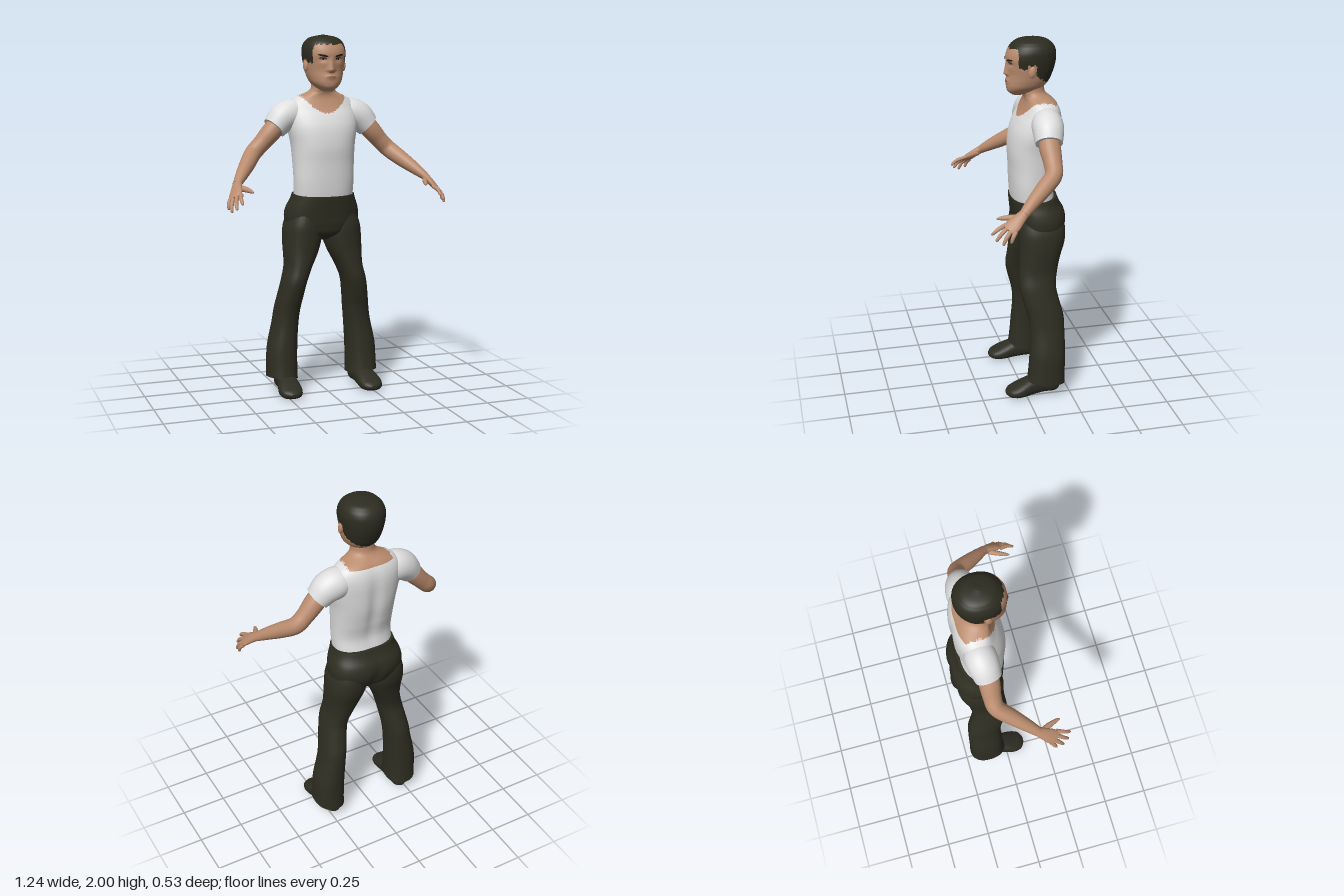
import * as THREE from 'three';

const mat = (name, color, double) => {
  const m = new THREE.MeshStandardMaterial({ color });
  m.name = name;
  if (double) m.side = THREE.DoubleSide;
  return m;
};

// Smooth interpolation of table rows; the first column is the parameter.
function profile(rows) {
  const k = rows[0].length - 1;
  const f = new THREE.CubicInterpolant(rows.map(r => r[0]), rows.flatMap(r => r.slice(1)), k, new Float32Array(k));
  return t => Array.from(f.evaluate(t));
}
const sup = (v, n) => Math.sign(v) * Math.abs(v) ** (2 / n);
const gauss = (v, s) => Math.exp(-((v / s) ** 2));

// Closed skin over point(angle, t), capped at both ends. pick() chooses a material per face.
function skin(name, point, [t0, t1], nu, nv, mats, { side = 1, pick = null, ease = v => v } = {}) {
  const pos = [], lists = mats.map(() => []);
  const add = p => pos.push(side * p[0], p[1], p[2]) / 3 - 1;
  const tri = (a, b, c) => {
    const mid = [0, 1, 2].map(k => (pos[a * 3 + k] + pos[b * 3 + k] + pos[c * 3 + k]) / 3);
    lists[pick ? pick(...mid) : 0].push(...(side > 0 ? [a, b, c] : [a, c, b]));
  };
  const ring = t => Array.from({ length: nu }, (_, i) => point(i / nu * Math.PI * 2, t));
  const rings = Array.from({ length: nv + 1 }, (_, j) => ring(t0 + (t1 - t0) * ease(j / nv)));
  rings.forEach(r => r.forEach(add));
  for (let j = 0; j < nv; j++) for (let i = 0; i < nu; i++) {
    const a = j * nu + i, b = j * nu + (i + 1) % nu;
    tri(a, b, b + nu);
    tri(a, b + nu, a + nu);
  }
  for (const end of [0, nv]) {
    const first = rings[end].map(add)[0];
    const c = add([0, 1, 2].map(k => rings[end].reduce((s, p) => s + p[k], 0) / nu));
    for (let i = 0; i < nu; i++) {
      const a = first + i, b = first + (i + 1) % nu;
      end ? tri(a, b, c) : tri(b, a, c);
    }
  }
  const g = new THREE.BufferGeometry();
  g.setAttribute('position', new THREE.Float32BufferAttribute(pos, 3));
  g.setIndex(lists.flat());
  let start = 0;
  lists.forEach((l, i) => { g.addGroup(start, l.length, i); start += l.length; });
  g.computeVertexNormals();
  const m = new THREE.Mesh(g, mats.length > 1 ? mats : mats[0]);
  m.name = name;
  return m;
}

// Limb along a path of rows [x, y, z, width, thickness].
const PALM_UP = new THREE.Vector3(0.66, 0.71, 0.24);
function limb(name, rows, material, side, nu = 20, nv = 24) {
  const f = profile(rows.map((r, i) => [i, ...r])), last = rows.length - 1;
  const at = t => new THREE.Vector3(...f(t));
  const point = (a, t) => {
    const T = at(Math.min(last, t + 0.05)).sub(at(Math.max(0, t - 0.05))).normalize();
    const A = new THREE.Vector3().crossVectors(PALM_UP, T).normalize();
    const B = new THREE.Vector3().crossVectors(T, A);
    const [, , , ra, rb] = f(t);
    return at(t).addScaledVector(A, ra * Math.cos(a)).addScaledVector(B, rb * Math.sin(a)).toArray();
  };
  return skin(name, point, [0, last], nu, nv, [material], { side });
}

export function createModel() {
  const group = new THREE.Group();
  group.name = 'standingMan';
  const flesh = mat('skin', 0xb98b6d), hair = mat('hair', 0x2d2c20), shirt = mat('shirt', 0xdedede);
  const cloth = mat('trousers', 0x2f2e22, true), leather = mat('shoe', 0x2e2d23);
  const lip = mat('lip', 0x94654f, true), eyeWhite = mat('eyeWhite', 0xb5a798, true), dark = mat('browAndIris', 0x231c16, true);

  // Head: y, front z, back z, half width
  const head = profile([
    [1.695, 0.025, -0.06, 0.025], [1.715, 0.048, -0.11, 0.055], [1.74, 0.055, -0.15, 0.08],
    [1.77, 0.053, -0.175, 0.094], [1.81, 0.049, -0.193, 0.104], [1.85, 0.053, -0.206, 0.111],
    [1.9, 0.057, -0.213, 0.117], [1.94, 0.044, -0.208, 0.113], [1.97, 0.02, -0.187, 0.095],
    [1.99, -0.018, -0.15, 0.062], [2.0, -0.075, -0.095, 0.01]]);
  const HN = 2.15;
  const relief = (x, y) => {
    const d = y - 1.812, h = d < 0 ? gauss(d, 0.013) : Math.max(0, 1 - d / 0.07);
    return 0.021 * h * gauss(x, 0.011 + 0.009 * h) + 0.007 * gauss(y - 1.772, 0.014) * gauss(x, 0.03)
      - 0.008 * gauss(Math.abs(x) - 0.043, 0.022) * gauss(y - 1.868, 0.014);
  };
  const headPoint = (a, y) => {
    const [f, b, w] = head(y), x = w * sup(Math.sin(a), HN), c = Math.cos(a);
    return [x, y, (f + b) / 2 + (f - b) / 2 * sup(c, HN) + (c > 0 ? relief(x, y) : 0)];
  };
  const faceZ = (x, y) => {
    const [f, b, w] = head(y);
    return (f + b) / 2 + (f - b) / 2 * (1 - Math.abs(x / w) ** HN) ** (1 / HN) + relief(x, y);
  };
  // Hairline: fringe, sideburn, above the ear, then down to the nape
  const hairline = (x, y, z) => {
    const line = z > 0.008 ? 1.948 : z > -0.035 ? 1.85 : z > -0.085 ? 1.868 : 1.8 + (z + 0.1) * 0.7;
    return y > line + 0.005 * Math.sin(x * 150 + z * 210) ? 1 : 0;
  };
  group.add(skin('head', headPoint, [1.695, 2.0], 112, 100, [flesh, hair],
    { pick: hairline, ease: v => (1 - Math.cos(Math.PI * v)) / 2 }));

  // Thin facial details that follow the face
  const decal = (name, material, cx, cy, w, h, tilt, lift) => {
    const g = new THREE.PlaneGeometry(w, h, 12, 2), p = g.attributes.position;
    for (let i = 0; i < p.count; i++) {
      const px = p.getX(i), py = p.getY(i) * Math.sqrt(Math.max(0.03, 1 - (2 * px / w) ** 2));
      const x = cx + px, y = cy + py + px * tilt;
      p.setXYZ(i, x, y, faceZ(x, y) + lift);
    }
    g.computeVertexNormals();
    const m = new THREE.Mesh(g, material);
    m.name = name;
    group.add(m);
  };
  decal('mouth', lip, 0, 1.772, 0.056, 0.014, 0, 0.002);
  for (const s of [1, -1]) {
    decal('eyebrow', dark, s * 0.046, 1.889, 0.052, 0.011, s * 0.18, 0.003);
    decal('eyelid', dark, s * 0.044, 1.872, 0.038, 0.014, s * 0.08, 0.002);
    decal('eye', eyeWhite, s * 0.044, 1.87, 0.032, 0.008, s * 0.08, 0.003);
    decal('iris', dark, s * 0.043, 1.87, 0.01, 0.009, 0, 0.004);
    decal('nostril', lip, s * 0.009, 1.797, 0.01, 0.005, 0, 0.002);
  }

  // Torso and neck: y, front z, back z, half width
  const torso = profile([
    [1.06, 0.022, -0.215, 0.163], [1.12, 0.031, -0.203, 0.167], [1.2, 0.037, -0.19, 0.17],
    [1.3, 0.041, -0.21, 0.173], [1.4, 0.045, -0.23, 0.18], [1.5, 0.03, -0.236, 0.197],
    [1.56, 0.005, -0.236, 0.2], [1.6, -0.018, -0.231, 0.195], [1.635, -0.034, -0.22, 0.177],
    [1.66, -0.042, -0.205, 0.147], [1.68, -0.042, -0.182, 0.1], [1.7, -0.034, -0.16, 0.072],
    [1.74, -0.025, -0.15, 0.064], [1.78, -0.025, -0.15, 0.062]]);
  const torsoPoint = (a, y) => {
    const [f, b, w] = torso(y), c = Math.cos(a), n = y > 1.68 ? 2 : 2.35, x = w * sup(Math.sin(a), n);
    const spine = c < 0 ? 0.014 * gauss(x, 0.035) * gauss(y - 1.4, 0.2) : 0;
    return [x, y, (f + b) / 2 + (f - b) / 2 * sup(c, n) + spine];
  };
  const neckline = (x, y, z) =>
    Math.abs(x) < 0.13 && y > (z > -0.12 ? 1.575 + 0.095 * (x / 0.13) ** 2 : 1.65) ? 0 : 1;
  group.add(skin('torso', torsoPoint, [1.06, 1.78], 96, 100, [flesh, shirt], { pick: neckline }));

  // Hips: y, front z, back z, half width
  const hips = profile([
    [0.865, -0.06, -0.17, 0.05], [0.9, 0.0, -0.225, 0.13], [0.95, 0.018, -0.253, 0.2],
    [1.0, 0.024, -0.264, 0.212], [1.05, 0.03, -0.255, 0.203], [1.1, 0.036, -0.226, 0.182],
    [1.125, 0.037, -0.216, 0.175]]);
  const hipPoint = (a, y) => {
    const [f, b, w] = hips(y), c = Math.cos(a), x = w * sup(Math.sin(a), 2.4);
    const cleft = c < 0 ? 0.018 * gauss(x, 0.025) * gauss(y - 0.96, 0.08) : 0;
    const waist = Math.max(0, (y - 1.08) / 0.045);
    return [x, y - waist * 0.008 * c, (f + b) / 2 + (f - b) / 2 * sup(c, 2.4) + cleft];
  };
  group.add(skin('trouserHips', hipPoint, [0.865, 1.125], 64, 30, [cloth]));

  // Leg: y, centre x, centre z, half width, half depth
  const leg = profile([
    [0.08, 0.239, -0.115, 0.086, 0.107], [0.12, 0.239, -0.117, 0.085, 0.104], [0.25, 0.235, -0.123, 0.083, 0.1],
    [0.4, 0.215, -0.125, 0.071, 0.097], [0.47, 0.206, -0.119, 0.069, 0.1], [0.55, 0.193, -0.098, 0.068, 0.101],
    [0.64, 0.175, -0.08, 0.068, 0.102], [0.72, 0.15, -0.088, 0.075, 0.106], [0.8, 0.13, -0.1, 0.095, 0.113],
    [0.88, 0.118, -0.113, 0.107, 0.126], [0.95, 0.114, -0.116, 0.103, 0.13], [1.02, 0.105, -0.115, 0.085, 0.12]]);
  const legPoint = (a, y) => {
    const [cx, cz, rx, rz] = leg(y), c = sup(Math.cos(a), 2.3), s = sup(Math.sin(a), 2.3);
    const cuff = Math.max(0, 1 - (y - 0.08) / 0.1);
    return [cx + rx * s, y + cuff * (0.011 * c + 0.008 * s), cz + rz * c];
  };

  // Shoe: z, centre x, half width, bottom, top
  const shoe = profile([
    [-0.19, 0.225, 0.022, 0.02, 0.06], [-0.17, 0.225, 0.043, 0.012, 0.09], [-0.1, 0.227, 0.05, 0.01, 0.115],
    [-0.03, 0.232, 0.058, 0.005, 0.108], [0.03, 0.237, 0.066, 0, 0.085], [0.07, 0.238, 0.062, 0.002, 0.066],
    [0.1, 0.237, 0.045, 0.009, 0.052], [0.115, 0.236, 0.018, 0.02, 0.038]]);
  const shoePoint = (a, z) => {
    const [cx, w, lo, hi] = shoe(z);
    return [cx + w * sup(Math.cos(a), 2.4), (lo + hi) / 2 + (hi - lo) / 2 * sup(Math.sin(a), 2.4), z];
  };

  // Fingers: knuckle, tip
  const fingers = [
    [[0.55, 1.172, 0.185], [0.563, 1.13, 0.262]], [[0.571, 1.161, 0.182], [0.589, 1.102, 0.245]],
    [[0.587, 1.152, 0.165], [0.608, 1.085, 0.213]], [[0.596, 1.147, 0.143], [0.614, 1.095, 0.172]]];

  for (const side of [1, -1]) {
    const n = side > 0 ? 'left' : 'right';
    group.add(skin(n + 'TrouserLeg', legPoint, [0.08, 1.02], 36, 50, [cloth], { side }));
    group.add(skin(n + 'Shoe', shoePoint, [-0.19, 0.115], 28, 28, [leather], { side }));
    group.add(limb(n + 'Sleeve', [
      [0.09, 1.565, -0.128, 0.06, 0.06], [0.16, 1.568, -0.127, 0.082, 0.084],
      [0.222, 1.547, -0.12, 0.083, 0.083], [0.276, 1.494, -0.11, 0.072, 0.067]], shirt, side, 36, 28));
    group.add(limb(n + 'Arm', [
      [0.25, 1.52, -0.112, 0.055, 0.055], [0.3, 1.465, -0.111, 0.056, 0.054], [0.35, 1.41, -0.112, 0.049, 0.048],
      [0.4, 1.36, -0.102, 0.046, 0.047], [0.45, 1.31, -0.038, 0.043, 0.043], [0.5, 1.262, 0.03, 0.035, 0.034],
      [0.545, 1.217, 0.09, 0.026, 0.022]], flesh, side, 28, 48));
    group.add(limb(n + 'Palm', [
      [0.54, 1.222, 0.083, 0.025, 0.022], [0.557, 1.196, 0.12, 0.034, 0.019],
      [0.571, 1.17, 0.153, 0.041, 0.016], [0.58, 1.153, 0.178, 0.034, 0.011]], flesh, side));
    fingers.forEach(([k, t]) => group.add(limb(n + 'Finger', [
      [...k, 0.012, 0.012], [...k.map((v, i) => (v + t[i]) / 2 + [0.005, 0.005, 0.002][i]), 0.011, 0.01],
      [...k.map((v, i) => v * 0.1 + t[i] * 0.9), 0.008, 0.008], [...t, 0.003, 0.003]], flesh, side, 10, 12)));
    group.add(limb(n + 'Thumb', [
      [0.54, 1.2, 0.105, 0.017, 0.016], [0.518, 1.196, 0.15, 0.016, 0.014],
      [0.5, 1.19, 0.195, 0.011, 0.01], [0.493, 1.185, 0.219, 0.004, 0.004]], flesh, side, 12, 14));

    // Ear
    const ear = new THREE.Mesh(new THREE.SphereGeometry(1, 16, 12), flesh);
    ear.name = n + 'Ear';
    ear.scale.set(0.012, 0.033, 0.02);
    ear.position.set(side * 0.11, 1.835, -0.06);
    ear.rotation.set(-0.15, side * -0.25, 0);
    group.add(ear);
  }
  return group;
}
